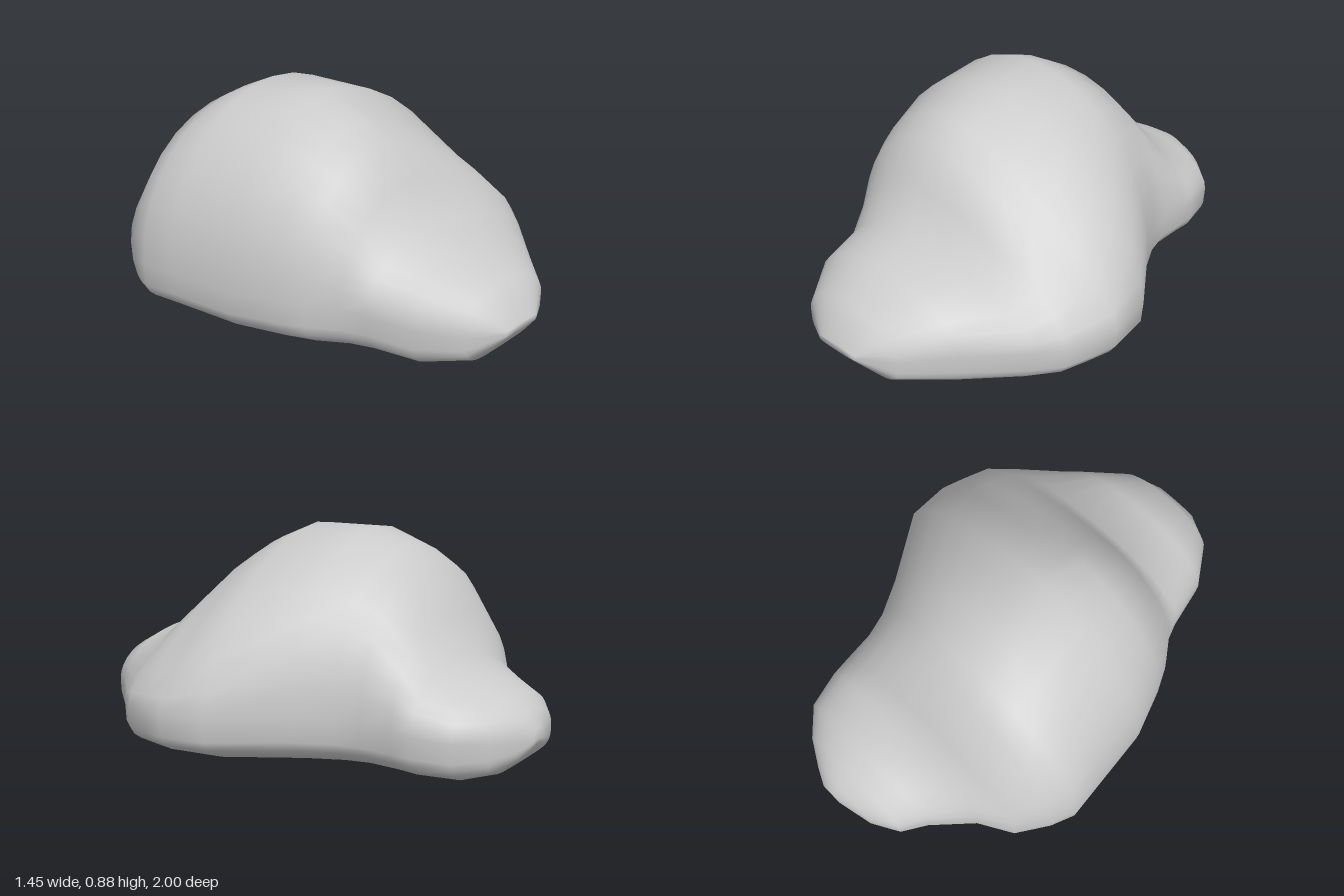
import * as THREE from 'three';

// Cross-sections from back to front: z, right edge, left edge, peak x, peak height
const SECTIONS = [
  [-1, 0, 0.1, 0.05, 0.19],
  [-0.965, -0.15, 0.17, 0.04, 0.255],
  [-0.9, -0.26, 0.28, 0.03, 0.3],
  [-0.8, -0.32, 0.38, 0.03, 0.35],
  [-0.65, -0.46, 0.415, 0.01, 0.41],
  [-0.57, -0.6, 0.415, -0.08, 0.56],
  [-0.44, -0.685, 0.415, -0.14, 0.75],
  [-0.34, -0.725, 0.44, -0.14, 0.81],
  [-0.2, -0.71, 0.51, -0.12, 0.875],
  [0.08, -0.68, 0.7, -0.1, 0.876],
  [0.27, -0.61, 0.72, -0.13, 0.8],
  [0.37, -0.56, 0.69, -0.13, 0.735],
  [0.48, -0.48, 0.65, -0.11, 0.59],
  [0.57, -0.445, 0.57, -0.08, 0.42],
  [0.76, -0.4, 0.36, -0.07, 0.395],
  [0.92, -0.29, 0.2, -0.06, 0.31],
  [1, -0.15, 0.05, -0.05, 0.16],
];
const SIDES = 32;

// Height of the widest line, lower towards the tips
const widestY = (z) => 0.15 + 0.06 * (1 - z * z);
// Flat underside that curls up at the tips
const undersideY = (z) => 0.13 * (Math.max(0, Math.abs(z) - 0.65) / 0.35) ** 5;
// The left flank straightens into a slope around the side bulge
const leftPower = (z) => 2 - 0.6 * Math.exp(-(((z - 0.3) / 0.28) ** 2));

// Rounded upper arc over a nearly flat underside
function sectionPoint([z, x0, x1, px, top], j) {
  const t = (j / SIDES) * Math.PI * 2;
  const c = Math.cos(t), s = Math.sin(t);
  const power = s < -1e-6 ? 4 : c > 0 ? leftPower(z) : 2;
  const u = Math.abs(c) ** (2 / power), v = Math.abs(s) ** (2 / power);
  const wide = widestY(z);
  return [
    px + u * (c > 0 ? x1 - px : x0 - px),
    wide + v * (s > 0 ? top - wide : undersideY(z) - wide),
    z,
  ];
}

function loftGeometry() {
  const pos = [], index = [];
  for (const section of SECTIONS)
    for (let j = 0; j < SIDES; j++) pos.push(...sectionPoint(section, j));
  for (let i = 0; i < SECTIONS.length - 1; i++)
    for (let j = 0; j < SIDES; j++) {
      const a = i * SIDES + j, b = i * SIDES + ((j + 1) % SIDES);
      index.push(a, b, a + SIDES, b, b + SIDES, a + SIDES);
    }
  // Close both tips
  const last = (SECTIONS.length - 1) * SIDES, tip = SECTIONS.length * SIDES;
  for (const [z, x0, x1] of [SECTIONS[0], SECTIONS[SECTIONS.length - 1]])
    pos.push((x0 + x1) / 2, widestY(z), z);
  for (let j = 0; j < SIDES; j++) {
    const k = (j + 1) % SIDES;
    index.push(tip, k, j, tip + 1, last + j, last + k);
  }
  const g = new THREE.BufferGeometry();
  g.setAttribute('position', new THREE.Float32BufferAttribute(pos, 3));
  g.setIndex(index);
  g.computeVertexNormals();
  return g;
}

export function createModel() {
  const group = new THREE.Group();
  group.name = 'boulder';
  // Domed middle with a low lobe at the front and the back
  const body = new THREE.Mesh(loftGeometry(), new THREE.MeshStandardMaterial({ color: 0xcccccc }));
  body.name = 'boulderBody';
  group.add(body);
  return group;
}
